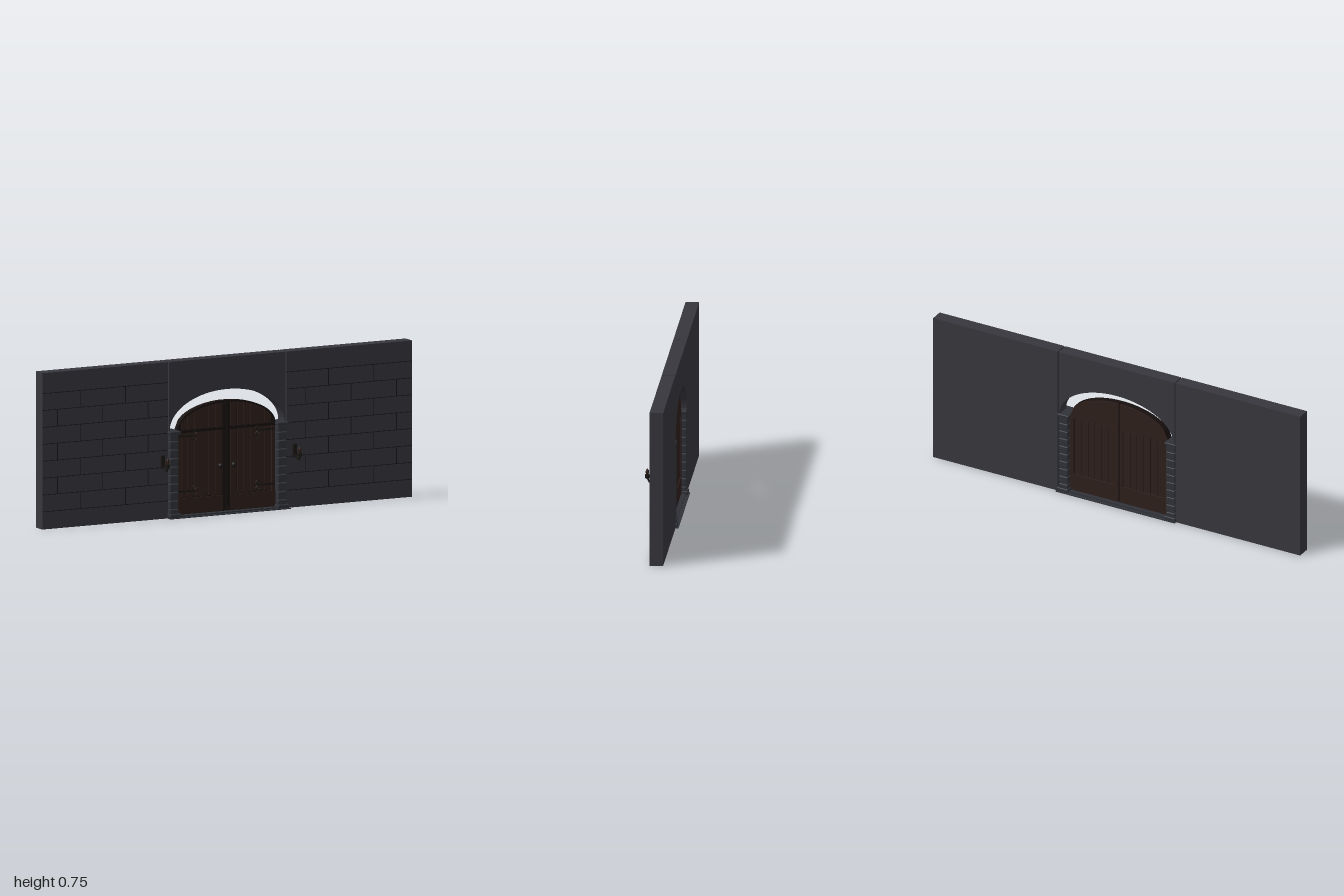
import * as THREE from 'three';
import { RoundedBoxGeometry } from 'three/addons/geometries/RoundedBoxGeometry.js';

const mat = (name, color) => Object.assign(new THREE.MeshStandardMaterial({ color }), { name });

export function createModel() {
  const wallGrey = mat('wall grey', 0x36363c);
  const stone = mat('column stone', 0x303238);
  const mortar = mat('dark mortar', 0x17171b);
  const wood = mat('dark wood', 0x2e1f1c);
  const seam = mat('wood seam', 0x17100f);
  const iron = mat('black iron', 0x1b1716);
  const ember = mat('torch wood', 0x2b1b15);

  const model = new THREE.Group();
  model.name = 'gateWall';

  const add = (parent, name, geometry, material) => {
    const m = new THREE.Mesh(geometry, material);
    m.name = name;
    parent.add(m);
    return m;
  };
  // box from its minimum and maximum corners, optionally rounded
  const box = (parent, name, material, [x0, y0, z0], [x1, y1, z1], r = 0) => {
    const s = [x1 - x0, y1 - y0, z1 - z0];
    const g = r ? new RoundedBoxGeometry(...s, 2, r) : new THREE.BoxGeometry(...s);
    g.translate((x0 + x1) / 2, (y0 + y1) / 2, (z0 + z1) / 2);
    return add(parent, name, g, material);
  };
  const slab = (parent, name, material, points, z0, z1) => {
    const shape = new THREE.Shape(points.map(([x, y]) => new THREE.Vector2(x, y)));
    const g = new THREE.ExtrudeGeometry(shape, { depth: z1 - z0, bevelEnabled: false });
    g.translate(0, 0, z0);
    return add(parent, name, g, material);
  };
  const tube = (parent, name, material, pts, radius) => {
    const curve = new THREE.CatmullRomCurve3(pts.map((p) => new THREE.Vector3(...p)));
    return add(parent, name, new THREE.TubeGeometry(curve, 14, radius, 6), material);
  };

  // side walls with brick joints on the front
  const course = 0.0816, brick = 0.245;
  for (const side of [-1, 1]) {
    const wall = new THREE.Group();
    wall.name = side < 0 ? 'rightWall' : 'leftWall';
    model.add(wall);
    const x0 = side < 0 ? -1 : 0.321, x1 = side < 0 ? -0.321 : 1;
    box(wall, 'wallSlab', wallGrey, [x0, 0, -0.063], [x1, 0.755, 0.002]);
    for (let row = 1; row <= 8; row++) {
      const y = 0.085 + (row - 1) * course;
      box(wall, 'courseJoint', mortar, [x0, y - 0.0016, 0.001], [x1, y + 0.0016, 0.003]);
      if (row === 8) continue;
      const first = (side < 0 ? -0.918 : 0.425) + (row % 2 ? brick / 2 : 0);
      for (let x = first; x < x1 - 0.02; x += brick)
        box(wall, 'brickJoint', mortar, [x - 0.0018, y, 0.001], [x + 0.0018, y + course, 0.003]);
    }
  }

  // arched wall above the gate
  const lintel = [[0.315, 0.42], [0.315, 0.755], [-0.315, 0.755], [-0.315, 0.42]];
  for (let i = 0; i <= 40; i++) {
    const a = Math.PI * (1 - i / 40);
    lintel.push([0.311 * Math.cos(a), 0.42 + 0.18 * Math.sin(a)]);
  }
  slab(model, 'archWall', wallGrey, lintel, -0.063, 0.002);

  // threshold
  box(model, 'threshold', stone, [-0.325, 0, -0.078], [0.325, 0.004, 0.037]);
  box(model, 'doorSill', stone, [-0.27, 0.004, -0.06], [0.27, 0.01, 0.018]);

  // block columns
  for (const side of [-1, 1]) {
    const column = new THREE.Group();
    column.name = side < 0 ? 'rightColumn' : 'leftColumn';
    column.position.x = side * 0.292;
    model.add(column);
    box(column, 'columnBase', stone, [-0.031, 0.003, -0.072], [0.031, 0.022, 0.03], 0.004);
    for (let i = 0; i < 10; i++) {
      const y = 0.005 + i * 0.041;
      box(column, 'columnBlock', stone, [-0.025, y, -0.065], [0.023, y + 0.038, 0.018], 0.004);
    }
    box(column, 'columnCapital', stone, [-0.031, 0.407, -0.067], [0.031, 0.42, 0.027], 0.004);
  }

  // height of the door arch at a distance from the middle
  const archY = (x, inset = 0) =>
    0.415 + (0.13 - inset) * Math.sqrt(Math.max(0, 1 - (x / (0.266 - inset)) ** 2));
  const archPlank = (parent, name, material, x0, x1, y0, z0, z1, inset = 0) => {
    const pts = [[x0, y0], [x1, y0]];
    for (let i = 0; i <= 12; i++) {
      const x = x1 + (x0 - x1) * (i / 12);
      pts.push([x, archY(x, inset)]);
    }
    return slab(parent, name, material, pts, z0, z1);
  };

  // door leaves, mirrored across the middle
  for (const side of [-1, 1]) {
    const leaf = new THREE.Group();
    leaf.name = side < 0 ? 'rightDoor' : 'leftDoor';
    model.add(leaf);
    const bx = (name, m, x0, x1, y0, y1, z0, z1, r) =>
      box(leaf, name, m, [Math.min(side * x0, side * x1), y0, z0], [Math.max(side * x0, side * x1), y1, z1], r);
    const arch = (name, m, x0, x1, y0, z0, z1, inset) =>
      archPlank(leaf, name, m, Math.min(side * x0, side * x1), Math.max(side * x0, side * x1), y0, z0, z1, inset);

    arch('doorCore', seam, 0.003, 0.266, 0.01, -0.034, -0.014, 0);
    // planks on both faces, arched ones in front only
    const count = 6, step = 0.222 / count;
    for (let i = 0; i < count; i++) {
      const x0 = 0.022 + i * step + 0.0015, x1 = x0 + step - 0.003;
      bx('frontPlank', wood, x0, x1, 0.092, 0.403, -0.014, -0.009);
      bx('backPlank', wood, x0, x1, 0.1, 0.4, -0.037, -0.034);
      arch('archPlank', wood, x0, x1, 0.419, -0.014, -0.009, 0.008);
    }
    // frame on both faces
    bx('frontBottomRail', wood, 0.006, 0.264, 0.014, 0.088, -0.014, -0.005);
    bx('frontMiddleRail', seam, 0.004, 0.264, 0.404, 0.417, -0.014, -0.004);
    bx('frontOuterStile', wood, 0.246, 0.264, 0.088, 0.404, -0.014, -0.006);
    bx('frontInnerStile', seam, 0.004, 0.02, 0.012, 0.535, -0.014, -0.005);
    bx('backBottomRail', wood, 0.004, 0.265, 0.012, 0.098, -0.041, -0.034);
    bx('backInnerStile', wood, 0.004, 0.021, 0.098, 0.402, -0.041, -0.034);
    bx('backOuterStile', wood, 0.246, 0.265, 0.098, 0.402, -0.041, -0.034);
    arch('backArchPanel', wood, 0.004, 0.265, 0.405, -0.041, -0.034, 0.001);

    // raised edge along the arch
    const rim = [];
    for (let i = 0; i <= 16; i++) {
      const a = (Math.PI / 2) * (i / 16);
      rim.push([side * 0.266 * Math.cos(a), 0.415 + 0.13 * Math.sin(a)]);
    }
    for (let i = 16; i >= 0; i--) {
      const a = (Math.PI / 2) * (i / 16);
      rim.push([side * 0.257 * Math.cos(a), 0.415 + 0.121 * Math.sin(a)]);
    }
    slab(leaf, 'archRim', seam, rim, -0.016, -0.005);

    // knob
    const plate = add(leaf, 'knobPlate', new THREE.CylinderGeometry(0.012, 0.012, 0.005, 16), iron);
    plate.rotation.x = Math.PI / 2;
    plate.position.set(side * 0.036, 0.232, -0.007);
    const knob = add(leaf, 'doorKnob', new THREE.SphereGeometry(0.013, 16, 12), iron);
    knob.position.set(side * 0.036, 0.232, 0.003);

    // scrolled strap hinges
    for (const y of [0.388, 0.122]) {
      bx('hingeStrap', iron, 0.17, 0.262, y - 0.005, y + 0.005, -0.01, -0.004);
      for (const d of [-1, 1])
        tube(leaf, 'hingeScroll', iron, [
          [side * 0.195, y, -0.006], [side * 0.172, y + d * 0.004, -0.006],
          [side * 0.16, y + d * 0.014, -0.006], [side * 0.17, y + d * 0.022, -0.006],
          [side * 0.18, y + d * 0.016, -0.006],
        ], 0.003);
    }
  }

  // wall torches
  for (const side of [-1, 1]) {
    const torch = new THREE.Group();
    torch.name = side < 0 ? 'rightTorch' : 'leftTorch';
    torch.position.x = side * 0.357;
    model.add(torch);
    box(torch, 'torchPlate', iron, [-0.01, 0.244, 0.013], [0.01, 0.31, 0.023], 0.002);
    const path = [[0.254, 0.02], [0.239, 0.058], [0.26, 0.07]];
    for (let i = 0; i < 2; i++) {
      const [ya, za] = path[i], [yb, zb] = path[i + 1];
      const arm = add(torch, 'torchArm', new THREE.BoxGeometry(0.007, 0.008, Math.hypot(yb - ya, zb - za) + 0.004), iron);
      arm.position.set(0, (ya + yb) / 2, (za + zb) / 2);
      arm.rotation.x = -Math.atan2(yb - ya, zb - za);
    }
    const cup = add(torch, 'torchCup', new THREE.CylinderGeometry(0.012, 0.01, 0.017, 12), iron);
    cup.position.set(0, 0.264, 0.068);
    const head = [[0.005, 0.27], [0.008, 0.283], [0.007, 0.296], [0, 0.304]];
    add(torch, 'torchHead', new THREE.LatheGeometry(head.map((p) => new THREE.Vector2(...p)), 12), ember)
      .position.z = 0.068;
  }
  return model;
}
